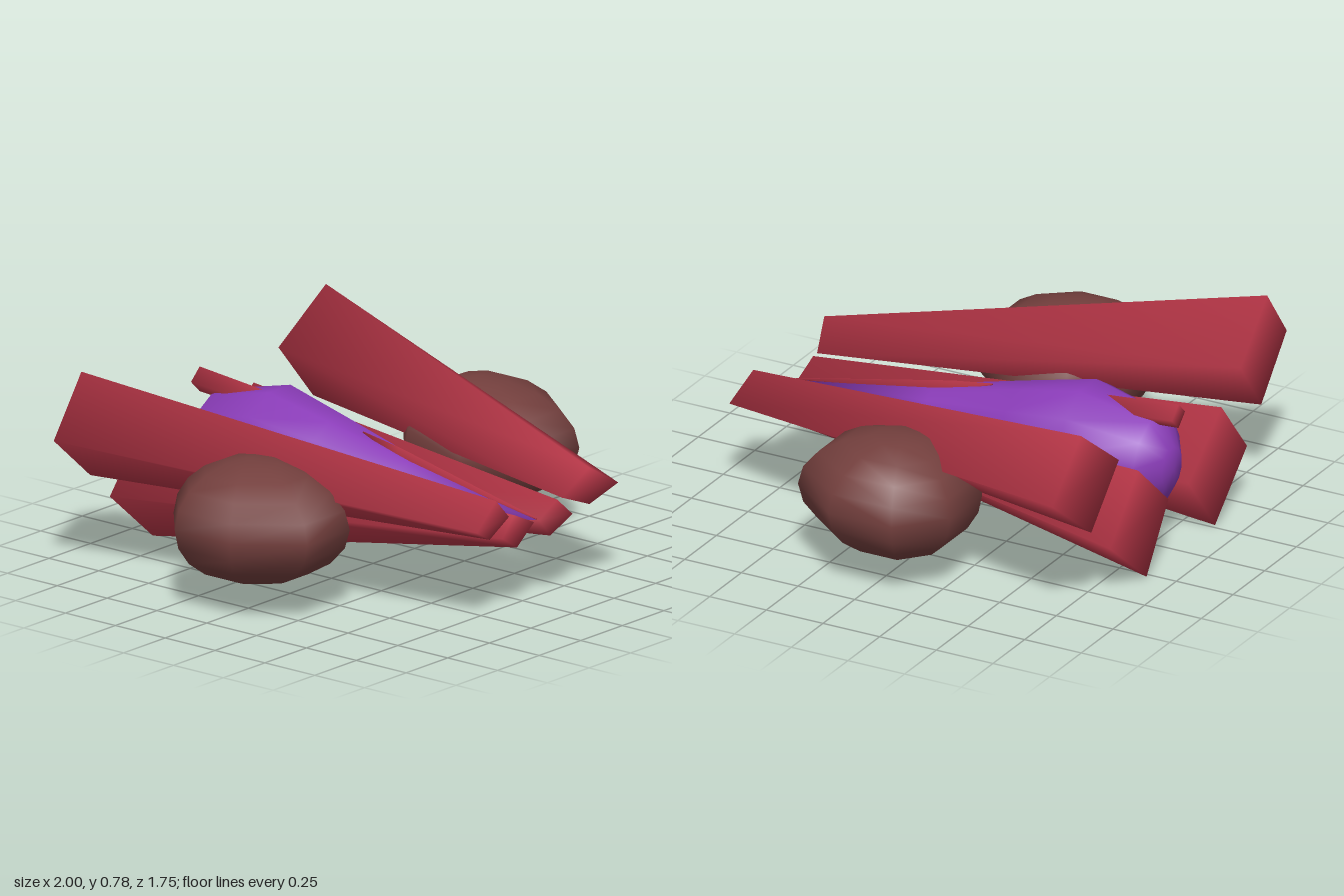
import * as THREE from 'three';
import { mergeVertices } from 'three/addons/utils/BufferGeometryUtils.js';

const red = new THREE.MeshStandardMaterial({ color: 0xb53546 });
const purple = new THREE.MeshStandardMaterial({ color: 0x8a3cb8 });
const brown = new THREE.MeshStandardMaterial({ color: 0x733f3d });

// Capped loft through four-cornered sections, ordered front to back.
// Corners run counter-clockwise seen from the front. Normals point out of
// each corner, so edges and ends shade softly.
function loft(sections) {
  const index = [0, 1, 2, 0, 2, 3];
  const normals = [];
  const last = sections.length - 1;
  sections.forEach((section, s) => {
    const corners = section.map((c) => new THREE.Vector3(...c));
    const centre = new THREE.Vector3();
    corners.forEach((c) => centre.addScaledVector(c, 0.25));
    for (const c of corners) {
      const n = c.clone().sub(centre).normalize();
      if (s === 0) n.z += 0.7;
      if (s === last) n.z -= 0.7;
      normals.push(...n.normalize());
    }
    if (s === last) return;
    for (let i = 0; i < 4; i++) {
      const a = s * 4 + i, b = s * 4 + (i + 1) % 4;
      index.push(a, a + 4, b + 4, a, b + 4, b);
    }
  });
  const e = last * 4;
  index.push(e, e + 2, e + 1, e, e + 3, e + 2);
  const geo = new THREE.BufferGeometry();
  geo.setAttribute('position', new THREE.Float32BufferAttribute(sections.flat(2), 3));
  geo.setAttribute('normal', new THREE.Float32BufferAttribute(normals, 3));
  geo.setIndex(index);
  return geo;
}

// Copy a geometry to the other side and turn its faces back outward
function mirror(geo) {
  const copy = geo.clone().scale(-1, 1, 1);
  copy.index.array.reverse();
  return copy;
}

// Diamond section centred on x = 0
const diamond = (y, z, w, h) => [[-w, y, z], [0, y - h, z], [w, y, z], [0, y + h, z]];

// Weld and smooth a deformed built-in geometry
function smooth(geo) {
  geo.deleteAttribute('normal');
  geo.deleteAttribute('uv');
  const welded = mergeVertices(geo, 1e-4);
  welded.computeVertexNormals();
  return welded;
}

export function createModel() {
  const group = new THREE.Group();
  const add = (name, geo, mat) => {
    const mesh = new THREE.Mesh(geo, mat);
    mesh.name = name;
    group.add(mesh);
  };
  const addPair = (name, geo, mat) => {
    add('left' + name, geo, mat);
    add('right' + name, mirror(geo), mat);
  };

  // Hull tapering to a point at the front
  const profile = [[0, -0.85], [0.08, -0.84], [0.19, -0.77], [0.257, -0.47], [0.195, -0.18], [0.11, 0.2], [0, 0.82]];
  const hull = new THREE.LatheGeometry(profile.map(([r, z]) => new THREE.Vector2(r, z)), 12, Math.PI / 12);
  hull.rotateX(Math.PI / 2).scale(1, 1.09, 1).translate(0, 0.34, 0);
  add('hull', smooth(hull), purple);

  // Beams: corners are inner, bottom, outer, top
  addPair('UpperBeam', loft([
    [[0.16, 0.39, 0.815], [0.3, 0.335, 0.835], [0.425, 0.4, 0.875], [0.28, 0.49, 0.85]],
    [[0.48, 0.58, -0.875], [0.67, 0.345, -0.86], [0.925, 0.55, -0.83], [0.735, 0.78, -0.85]],
  ]), red);
  addPair('LowerBeam', loft([
    [[0.015, 0.335, 0.82], [0.1, 0.25, 0.805], [0.21, 0.315, 0.825], [0.13, 0.39, 0.815]],
    [[0.08, 0.25, -0.87], [0.27, 0, -0.88], [0.54, 0.225, -0.87], [0.33, 0.475, -0.875]],
  ]), red);

  // Eight-sided pods, longer toward the front
  const pod = new THREE.SphereGeometry(1, 8, 10, Math.PI / 8);
  const p = pod.attributes.position;
  for (let i = 0; i < p.count; i++) {
    const z = p.getZ(i);
    p.setXYZ(i, 0.69 + p.getX(i) * 0.335, 0.34 + p.getY(i) * 0.245, -0.05 + z * (z > 0 ? 0.435 : 0.29));
  }
  addPair('Pod', smooth(pod), brown);

  // Long spike along the nose
  add('noseFin', loft([
    diamond(0.345, 0.82, 0.004, 0.004),
    diamond(0.46, 0.13, 0.026, 0.035),
    diamond(0.52, -0.05, 0.003, 0.003),
  ]), red);

  // Short bar over the tail
  add('tailFin', loft([
    diamond(0.54, -0.5, 0.045, 0.045),
    diamond(0.57, -0.87, 0.052, 0.05),
  ]), red);

  return group;
}
